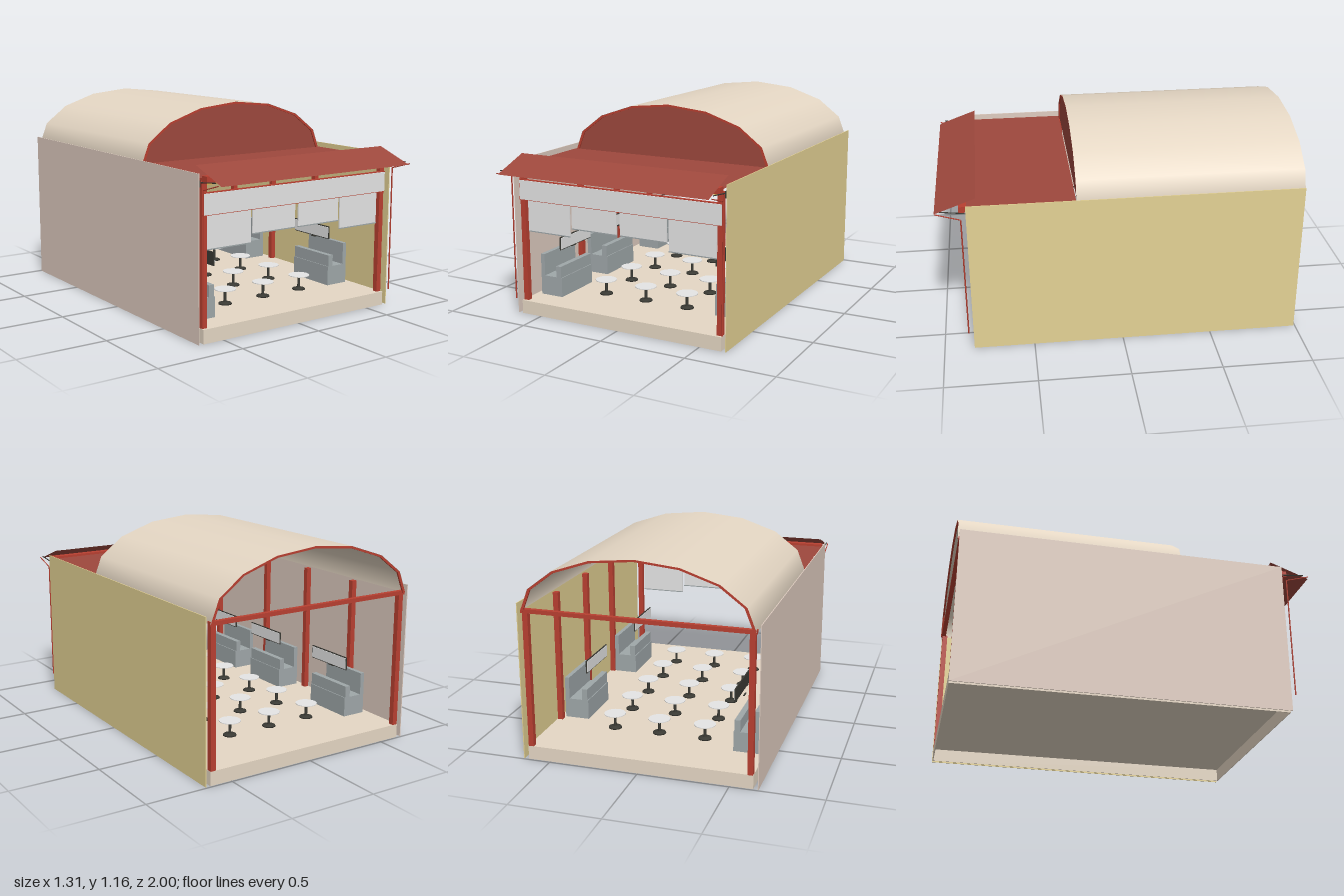
import * as THREE from 'three';

const mat = (name, color, side = THREE.FrontSide) => {
  const m = new THREE.MeshStandardMaterial({ color, side });
  m.name = name;
  return m;
};

export function createModel() {
  const model = new THREE.Group();
  model.name = 'vaultedDiner';

  const beige = mat('beige', 0xe5d7c4, THREE.DoubleSide);
  const wallBeige = mat('wallBeige', 0xdfccc0);
  const olive = mat('olive', 0xe4d294);
  const roofRed = mat('roofRed', 0x9e483d, THREE.DoubleSide);
  const red = mat('frameRed', 0xb94031);
  const lightGrey = mat('lightGrey', 0xe5e5e5);
  const grey = mat('upholsteryGrey', 0x9fa7a9);
  const dark = mat('darkMetal', 0x3a3a34);
  const amber = mat('amber', 0xeeb545);

  const add = (name, geo, material, x = 0, y = 0, z = 0, parent = model) => {
    const mesh = new THREE.Mesh(geo, material);
    mesh.name = name;
    mesh.position.set(x, y, z);
    parent.add(mesh);
    return mesh;
  };
  // box given by its minimum and maximum on each axis
  const box = (name, material, [x0, x1], [y0, y1], [z0, z1], parent) =>
    add(name, new THREE.BoxGeometry(x1 - x0, y1 - y0, z1 - z0), material,
      (x0 + x1) / 2, (y0 + y1) / 2, (z0 + z1) / 2, parent);
  // round bar between two points
  const rod = (name, a, b, r, material) => add(name,
    new THREE.TubeGeometry(new THREE.LineCurve3(new THREE.Vector3(...a), new THREE.Vector3(...b)), 1, r, 6),
    material);

  // floor deck, hollow below, with a skirt all round
  box('floorDeck', beige, [-0.625, 0.625], [0.073, 0.077], [-0.99, 0.835]);
  for (const z of [-0.99, 0.831]) box('floorSkirt', beige, [-0.625, 0.625], [0, 0.073], [z, z + 0.004]);
  for (const x of [-0.625, 0.621]) box('floorSkirt', beige, [x, x + 0.004], [0, 0.073], [-0.986, 0.831]);

  // side walls
  box('leftWall', olive, [0.649, 0.654], [0, 0.88], [-0.992, 0.835]);
  box('rightWall', wallBeige, [-0.654, -0.649], [0, 0.88], [-0.992, 0.835]);

  // vaulted roof: half ellipse in eight segments
  const arch = (a, b) => Array.from({ length: 9 }, (_, i) =>
    new THREE.Vector2(a * Math.cos(i * Math.PI / 8), b * Math.sin(i * Math.PI / 8)));
  const vault = new THREE.CylinderGeometry(1, 1, 1.25, 8, 1, true, Math.PI / 2, Math.PI);
  vault.rotateX(Math.PI / 2);
  vault.scale(0.63, 0.32, 1);
  add('vaultRoof', vault, beige, 0, 0.84, -0.375);
  add('gable', new THREE.ShapeGeometry(new THREE.Shape(arch(0.628, 0.318))), roofRed, 0, 0.84, 0.242);

  // red arch trims tucked inside both ends of the vault
  const trimShape = new THREE.Shape([...arch(0.629, 0.319), ...arch(0.614, 0.308).reverse()]);
  for (const z of [-0.999, 0.239]) {
    add('archTrim', new THREE.ExtrudeGeometry(trimShape, { depth: 0.01, bevelEnabled: false }), red, 0, 0.84, z);
  }

  // flat roof and sloping awning
  const flat = add('flatRoof', new THREE.PlaneGeometry(1.26, 0.59), roofRed, 0, 0.855, 0.545);
  flat.rotation.x = -Math.PI / 2;
  const awning = add('awning', new THREE.PlaneGeometry(1.264, Math.hypot(0.22, 0.08)), roofRed, 0, 0.875, 0.89);
  awning.rotation.x = -Math.atan2(0.22, 0.08);

  // beams and light strip
  box('frontHeader', red, [-0.63, 0.63], [0.835, 0.868], [0.83, 0.872]);
  box('backBeam', red, [-0.63, 0.63], [0.83, 0.852], [-0.995, -0.97]);
  box('lightStrip', amber, [-0.595, 0.595], [0.815, 0.832], [0.79, 0.81]);

  // fascia panel in a red frame
  box('fasciaFrame', red, [-0.625, 0.625], [0.661, 0.779], [0.81, 0.825]);
  box('fasciaPanel', lightGrey, [-0.62, 0.62], [0.665, 0.774], [0.822, 0.83]);

  for (const s of [-1, 1]) {
    // wall posts
    for (const z of [-0.975, -0.59, -0.17, 0.247, 0.805]) {
      add('post', new THREE.BoxGeometry(0.03, 0.76, 0.03), red, s * 0.608, 0.455, z);
    }
    // hanging blinds with a bottom bar
    for (const [x, w, bottom] of [[0.445, 0.276, 0.48], [0.153, 0.284, 0.527]]) {
      add('blind', new THREE.BoxGeometry(w, 0.67 - bottom, 0.006), lightGrey, s * x, (0.67 + bottom) / 2, 0.803);
      add('blindBar', new THREE.BoxGeometry(w, 0.006, 0.01), grey, s * x, bottom + 0.002, 0.803);
    }
    // awning crank, arms and hinge
    rod('crankRod', [s * 0.645, 0.095, 0.862], [s * 0.645, 0.8, 0.862], 0.004, red);
    rod('awningArm', [s * 0.645, 0.8, 0.862], [s * 0.645, 0.84, 0.997], 0.003, red);
    rod('awningStay', [s * 0.64, 0.835, 0.84], [s * 0.64, 0.85, 0.97], 0.003, dark);
    add('awningHinge', new THREE.BoxGeometry(0.008, 0.035, 0.02), dark, s * 0.643, 0.827, 0.822);
  }

  // booths: seat, tall wall-side back, low aisle-side back and a screen
  const booth = (side, z) => {
    const g = new THREE.Group();
    g.name = 'booth';
    const L = [-0.155, 0.155];
    box('seat', grey, [0.453, 0.593], [0.077, 0.19], L, g);
    box('tallBack', grey, [0.568, 0.593], [0.19, 0.317], L, g);
    box('lowBack', grey, [0.458, 0.49], [0.19, 0.256], L, g);
    box('screenBack', dark, [0.455, 0.461], [0.355, 0.43], L, g);
    box('screenFace', lightGrey, [0.452, 0.456], [0.36, 0.425], [-0.15, 0.15], g);
    box('screenFoot', dark, [0.47, 0.478], [0.343, 0.347], [-0.02, 0.02], g);
    if (side < 0) g.rotation.y = Math.PI;
    g.position.z = z;
    model.add(g);
  };
  for (const z of [0.4, -0.4]) booth(1, z);
  for (const z of [0.535, 0.05, -0.58]) booth(-1, z);

  // round pedestal tables in five rows of three
  const topGeo = new THREE.CylinderGeometry(0.061, 0.061, 0.004, 20);
  const legGeo = new THREE.LatheGeometry([[0, 0], [0.038, 0], [0.036, 0.007], [0.012, 0.011],
    [0.008, 0.015], [0.008, 0.083]].map(p => new THREE.Vector2(...p)), 14);
  for (let row = 0; row < 5; row++) {
    for (const x of [-0.263, 0, 0.263]) {
      const t = new THREE.Group();
      t.name = 'table';
      add('tableTop', topGeo, lightGrey, 0, 0.085, 0, t);
      add('tableLeg', legGeo, dark, 0, 0, 0, t);
      t.position.set(x, 0.077, 0.518 - row * 0.285);
      model.add(t);
    }
  }
  return model;
}
